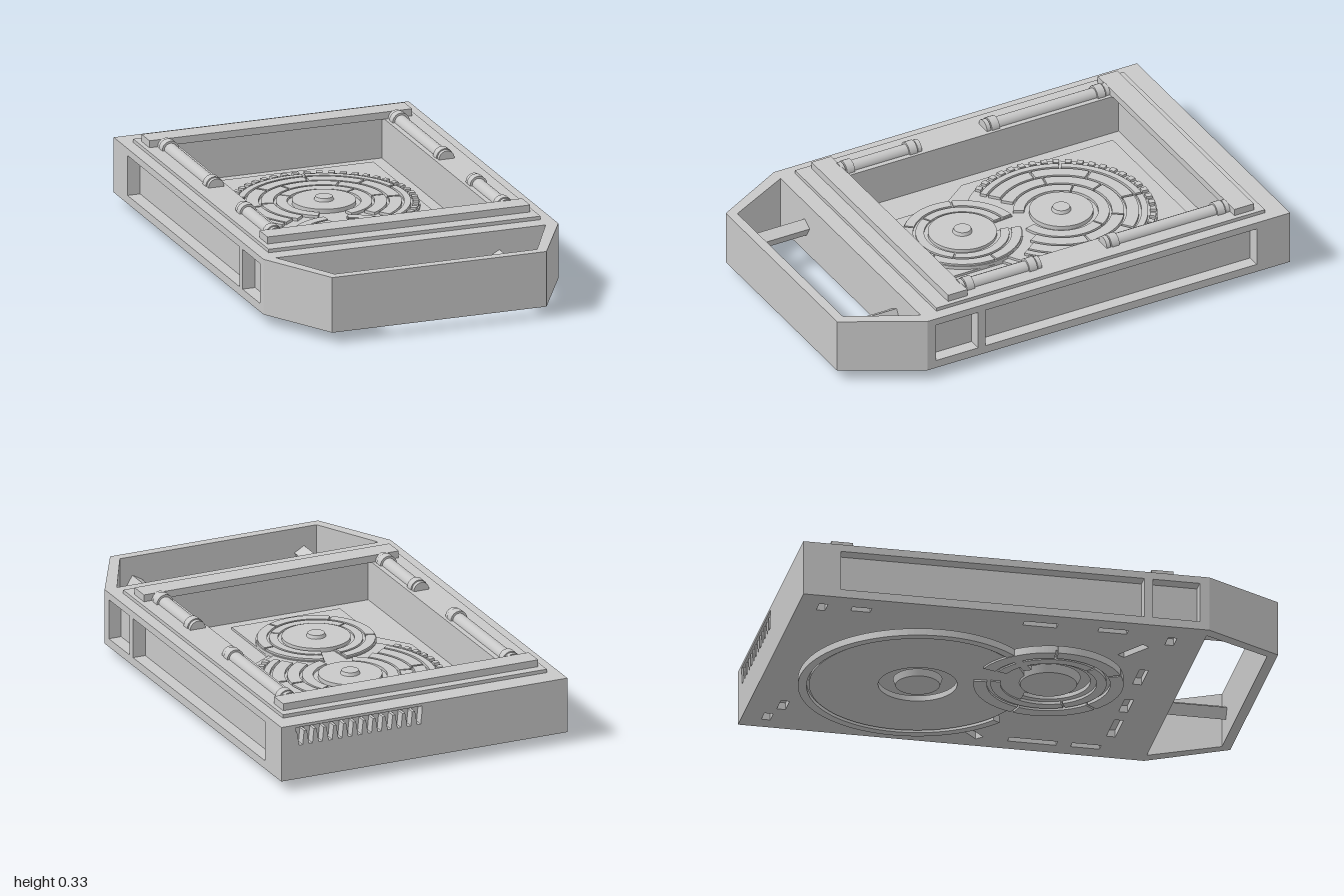
import * as THREE from 'three';

const grey = new THREE.MeshStandardMaterial({ color: 0xc8c8c8 });
grey.name = 'plain grey';

export function createModel() {
  const model = new THREE.Group();
  model.name = 'framedRotorTray';

  const add = (name, geometry, x = 0, y = 0, z = 0, parent = model) => {
    const mesh = new THREE.Mesh(geometry, grey);
    mesh.name = name;
    mesh.position.set(x, y, z);
    parent.add(mesh);
    return mesh;
  };
  // Box given by its lower and upper limits
  const box = (name, x0, x1, y0, y1, z0, z1) =>
    add(name, new THREE.BoxGeometry(x1 - x0, y1 - y0, z1 - z0), (x0 + x1) / 2, (y0 + y1) / 2, (z0 + z1) / 2);
  const polygon = (pts) => pts.map(([a, b]) => new THREE.Vector2(a, b));
  const rect = (a0, a1, b0, b1) => [[a0, b0], [a1, b0], [a1, b1], [a0, b1]];
  const panel = (outline, holes, depth) => {
    const shape = new THREE.Shape(polygon(outline));
    holes.forEach((h) => shape.holes.push(new THREE.Path(polygon(h))));
    return new THREE.ExtrudeGeometry(shape, { depth, bevelEnabled: false });
  };
  // Horizontal slab drawn as [x, z] points; reversing keeps the winding
  const flip = (pts) => pts.map(([x, z]) => [x, -z]).reverse();
  const slab = (name, outline, holes, y0, y1) =>
    add(name, panel(flip(outline), holes.map(flip), y1 - y0).rotateX(-Math.PI / 2), 0, y0, 0);
  const group = (name, x, y, z) => {
    const g = new THREE.Group();
    g.name = name;
    g.position.set(x, y, z);
    model.add(g);
    return g;
  };
  const disc = (parent, name, r, y0, y1, r2 = r) =>
    add(name, new THREE.CylinderGeometry(r, r2, y1 - y0, 64), 0, (y0 + y1) / 2, 0, parent);
  // Ring sector between two angles in degrees, 90 pointing to the back
  const arc = (parent, name, r0, r1, from, to, y0, y1) => {
    const a = THREE.MathUtils.degToRad(from), b = THREE.MathUtils.degToRad(to);
    const shape = new THREE.Shape();
    shape.absarc(0, 0, r1, a, b, false);
    shape.absarc(0, 0, r0, b, a, true);
    shape.closePath();
    const curveSegments = Math.max(4, Math.ceil((to - from) / 6));
    const g = new THREE.ExtrudeGeometry(shape, { depth: y1 - y0, bevelEnabled: false, curveSegments });
    add(name, g.rotateX(-Math.PI / 2), 0, y0, 0, parent);
  };
  // Row of n equal ring sectors with small gaps
  const arcRow = (parent, name, r0, r1, from, to, n, gap, y0, y1) => {
    const step = (to - from) / n;
    for (let i = 0; i < n; i++)
      arc(parent, name, r0, r1, from + i * step + gap, from + (i + 1) * step - gap, y0, y1);
  };

  // Hull with its open well and floor
  const well = rect(-0.45, 0.45, -0.81, 0.49);
  slab('hull', rect(-0.585, 0.585, -0.96, 0.68), [well], 0.075, 0.28);
  box('wellFloor', -0.45, 0.45, 0.075, 0.12, -0.81, 0.49);
  slab('floorPlate', [[-0.39, -0.75], [0.39, -0.75], [0.39, -0.05], [0.19, 0.08], [0.19, 0.43],
    [-0.295, 0.43], [-0.295, 0.08], [-0.39, -0.05]], [], 0.12, 0.13);

  // Bottom plate with short slots around its edge: x, z, length, turn in degrees
  const slots = [[0.54, -0.9, 0.06, 0], [0.42, -0.86, 0.08, 0], [-0.53, -0.9, 0.06, 0], [-0.54, -0.74, 0.08, 90],
    [0.56, -0.47, 0.14, 90], [0.52, -0.06, 0.12, 45], [0.55, 0.2, 0.2, 90], [0.55, 0.42, 0.12, 90],
    [0.36, 0.5, 0.16, 0], [0.14, 0.5, 0.12, 0], [-0.14, 0.5, 0.14, 0], [-0.38, 0.42, 0.14, -35],
    [-0.5, 0.55, 0.07, 0], [-0.55, 0.3, 0.12, 90], [-0.55, 0, 0.14, 90],
  ].map(([x, z, length, turn]) => {
    const c = Math.cos(THREE.MathUtils.degToRad(turn)), s = Math.sin(THREE.MathUtils.degToRad(turn));
    return rect(-length / 2, length / 2, -0.018, 0.018).map(([a, b]) => [x + a * c - b * s, z + a * s + b * c]);
  });
  slab('bottomPlate', rect(-0.585, 0.585, -0.96, 0.68), slots, 0.045, 0.075);

  // Side walls with two window recesses each
  for (const x of [0.64, -0.585]) {
    const g = panel(rect(-1, 0.68, 0.045, 0.28),
      [rect(0.445, 0.64, 0.08, 0.25), rect(-0.845, 0.41, 0.08, 0.25)], 0.055);
    add('sideWall', g.rotateY(-Math.PI / 2), x, 0, 0);
  }

  // Back wall with a comb-shaped vent
  const comb = [[0.59 - 0.005, 0.268], [0.01, 0.268]];
  for (let i = 0; i < 13; i++) {
    const x = 0.01 + i * 0.044;
    comb.push([x, 0.25], [x + 0.006, 0.19], [x + 0.022, 0.19], [x + 0.032, 0.25]);
  }
  comb[0][0] = 0.575;
  comb.push([0.575, 0.25]);
  add('backWall', panel(rect(-0.585, 0.585, 0.045, 0.28), [comb], 0.04), 0, 0, -1);

  // Tapered front bay, open above and below, with two tilted struts
  slab('frontBay', [[0.64, 0.68], [0.465, 1], [-0.465, 1], [-0.64, 0.68],
    [-0.585, 0.68], [-0.44, 0.96], [0.44, 0.96], [0.585, 0.68]], [], 0.045, 0.28);
  for (const s of [-1, 1]) {
    const strut = box('bayStrut', s * 0.375 - 0.025, s * 0.375 + 0.025, 0.14, 0.19, 0.67, 0.97);
    strut.rotation.z = s * Math.PI / 6;
  }

  // Raised rim and its cross bars
  slab('rim', rect(-0.59, 0.59, -0.91, 0.61), [well], 0.28, 0.295);
  box('backBar', -0.57, 0.57, 0.295, 0.325, -0.87, -0.78);
  box('frontBar', -0.57, 0.57, 0.295, 0.325, 0.455, 0.545);

  // Rollers with collars along both sides
  const roller = (name, r, x, z0, z1) =>
    add(name, new THREE.CylinderGeometry(r, r, z1 - z0, 20).rotateX(Math.PI / 2), x, 0.296, (z0 + z1) / 2);
  for (const x of [-0.5, 0.5]) {
    for (const [z0, z1] of [[-0.78, -0.21], [0.09, 0.46]]) {
      roller('roller', 0.028, x, z0, z1);
      for (const [a, b] of [[z0, z0 + 0.018], [z0 + 0.022, z0 + 0.058], [z1 - 0.058, z1 - 0.022], [z1 - 0.018, z1]])
        roller('rollerCollar', b - a > 0.02 ? 0.037 : 0.034, x, a, b);
    }
  }

  // Hub with a pin on each upper rotor
  const hub = (g, r) => {
    disc(g, 'hub', r, 0, 0.028);
    disc(g, 'hubPin', 0.035, 0.028, 0.042, 0.04);
  };
  // Large segmented rotor, left open toward the small one
  const large = group('upperLargeRotor', 0, 0.13, -0.295);
  disc(large, 'base', 0.39, 0, 0.01);
  hub(large, 0.13);
  [[0.15, 0.195, 3, 20], [0.205, 0.255, 5, 38], [0.265, 0.315, 6, 42], [0.325, 0.352, 4, 42]].forEach(([r0, r1, n, open]) =>
    arcRow(large, 'segment', r0, r1, -97 + open, 263 - open, n, 1, 0.01, 0.022));
  arcRow(large, 'tooth', 0.36, 0.385, -52, 218, 36, 1.8, 0.01, 0.022);

  // Small rotor with a notch at its back
  const small = group('upperSmallRotor', -0.05, 0.13, 0.135);
  arc(small, 'base', 0.13, 0.245, 95, 433, 0, 0.014);
  hub(small, 0.14);
  arcRow(small, 'segment', 0.155, 0.19, 95, 433, 3, 1, 0.014, 0.022);
  arcRow(small, 'segment', 0.2, 0.24, 95, 433, 5, 1, 0.014, 0.022);

  // Wider flat rotors hanging just under the hull, with sunken hubs
  const lowerLarge = group('lowerLargeRotor', 0.035, 0, -0.385);
  arc(lowerLarge, 'plate', 0.16, 0.44, -180, 180, 0.008, 0.032);
  arc(lowerLarge, 'rim', 0.45, 0.485, -55, 240, 0.002, 0.032);
  arc(lowerLarge, 'rimBed', 0.43, 0.46, -55, 240, 0.018, 0.032);
  disc(lowerLarge, 'hub', 0.1, 0.004, 0.032, 0.09);
  const lowerSmall = group('lowerSmallRotor', -0.09, 0, 0.13);
  arc(lowerSmall, 'plate', 0.17, 0.3, 107, 445, 0.014, 0.032);
  arcRow(lowerSmall, 'segment', 0.195, 0.235, 107, 445, 3, 1, 0.002, 0.014);
  arcRow(lowerSmall, 'segment', 0.25, 0.304, 107, 445, 5, 1, 0, 0.032);
  disc(lowerSmall, 'hub', 0.13, 0, 0.032, 0.115);

  return model;
}
